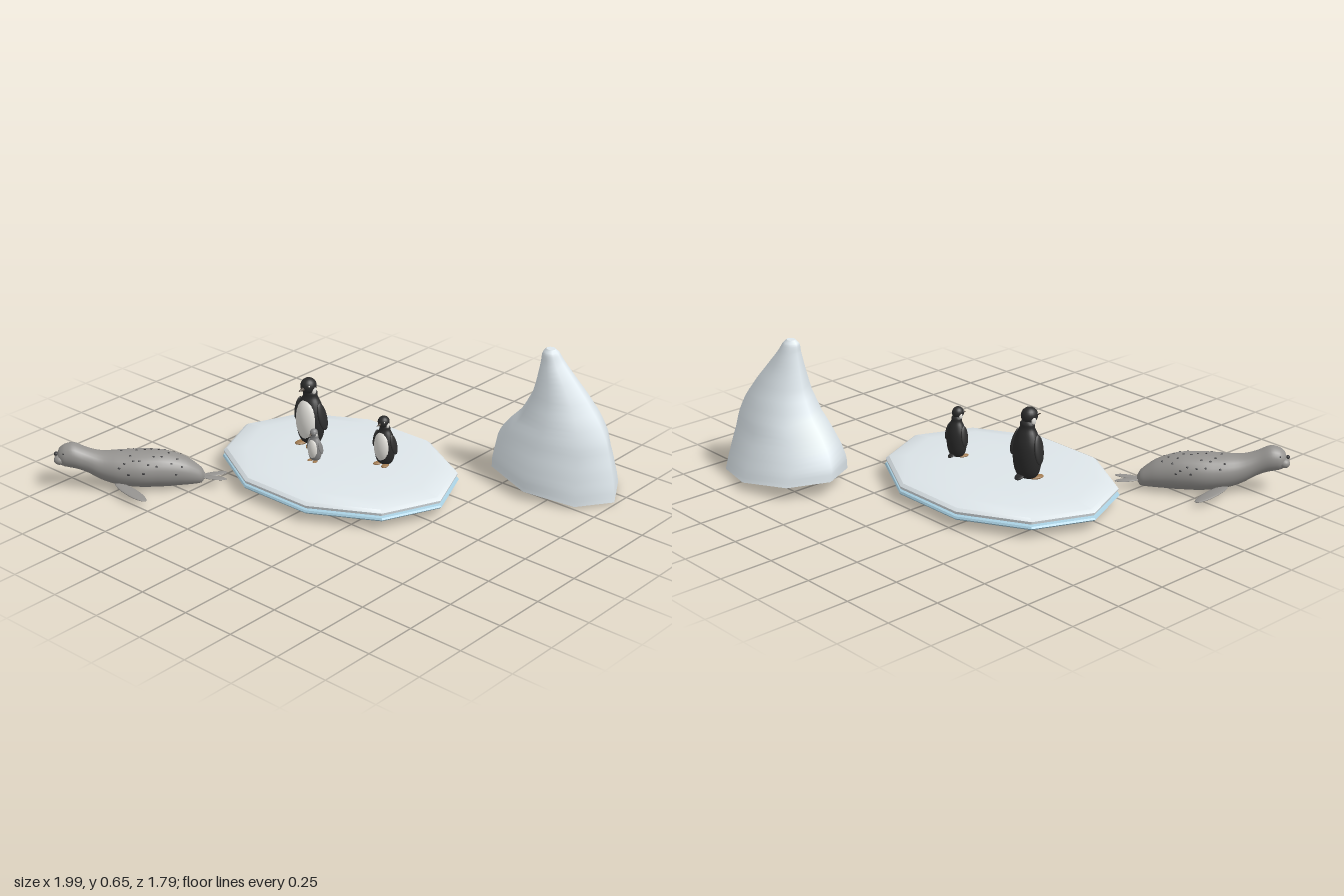
import * as THREE from 'three';
import { toCreasedNormals } from 'three/addons/utils/BufferGeometryUtils.js';

const mat = (color) => new THREE.MeshStandardMaterial({ color });
const M = {
  snow: mat(0xdde5e9), ice: mat(0xa9d0e2), berg: mat(0xdfe8ed),
  black: mat(0x2b2b2b), white: mat(0xe6e4de), down: mat(0x858585),
  tan: mat(0xa07a50), beak: mat(0x4a4036), seal: mat(0x94928f), dark: mat(0x3a3a3c),
};

function add(parent, name, geometry, material, pos = [0, 0, 0], rot = [0, 0, 0]) {
  const mesh = new THREE.Mesh(geometry, material);
  mesh.name = name;
  mesh.position.set(...pos);
  mesh.rotation.set(...rot);
  parent.add(mesh);
  return mesh;
}

const ellipsoid = (rx, ry, rz, n = 20) => new THREE.SphereGeometry(1, n, Math.ceil(n * 0.7)).scale(rx, ry, rz);

// Smooth skin over closed rings of points, with flat caps on both ends
function loft(rows) {
  const n = rows[0].length, pos = [], idx = [];
  rows.forEach((row) => row.forEach((p) => pos.push(p.x, p.y, p.z)));
  for (let i = 0; i < rows.length - 1; i++) {
    for (let j = 0; j < n; j++) {
      const a = i * n + j, b = i * n + (j + 1) % n;
      idx.push(a, a + n, b, b, a + n, b + n);
    }
  }
  [rows[0], rows[rows.length - 1]].forEach((row, end) => {
    const start = pos.length / 3, mid = new THREE.Vector3();
    row.forEach((p) => { pos.push(p.x, p.y, p.z); mid.addScaledVector(p, 1 / n); });
    pos.push(mid.x, mid.y, mid.z);
    for (let j = 0; j < n; j++) {
      const a = start + j, b = start + (j + 1) % n;
      idx.push(start + n, end ? b : a, end ? a : b);
    }
  });
  const g = new THREE.BufferGeometry();
  g.setAttribute('position', new THREE.Float32BufferAttribute(pos, 3));
  g.setIndex(idx);
  g.computeVertexNormals();
  return g;
}

// Two stacked ten-sided slabs
function iceFloe() {
  const g = new THREE.Group();
  g.name = 'iceFloe';
  const slab = (name, pts, material) => {
    const lathe = new THREE.LatheGeometry(pts.map((p) => new THREE.Vector2(...p)), 10, Math.PI / 2);
    add(g, name, toCreasedNormals(lathe.scale(0.595, 1, 0.45), 0.5), material);
  };
  slab('lowerIce', [[0, 0.002], [0.5, 0.005], [0.85, 0.02], [0.985, 0.042], [1, 0.05], [0.99, 0.058], [0.95, 0.064], [0, 0.064]], M.ice);
  slab('snowTop', [[0, 0.06], [0.95, 0.06], [0.985, 0.068], [0.99, 0.08], [0.96, 0.092], [0.8, 0.106], [0.5, 0.113], [0, 0.115]], M.snow);
  g.position.set(-0.095, 0, -0.06);
  return g;
}

// Leaning eight-sided peak; rings are [y, x, rx, z, rz, tilt]
function iceberg(parent) {
  const rings = [
    [0.04, 0.665, 0.325, -0.67, 0.24, 1], [0.12, 0.665, 0.32, -0.66, 0.217, 0.6],
    [0.22, 0.682, 0.282, -0.652, 0.182, 0.3], [0.32, 0.707, 0.222, -0.65, 0.15, 0.1],
    [0.42, 0.7, 0.16, -0.648, 0.112, 0], [0.52, 0.672, 0.102, -0.643, 0.075, 0],
    [0.6, 0.645, 0.055, -0.64, 0.048, 0], [0.637, 0.636, 0.04, -0.637, 0.036, 0],
    [0.655, 0.635, 0.022, -0.637, 0.02, 0]];
  const centre = new THREE.CatmullRomCurve3(rings.map((r) => new THREE.Vector3(r[1], r[0], r[3])));
  const size = new THREE.CatmullRomCurve3(rings.map((r) => new THREE.Vector3(r[2], r[5], r[4])));
  const rows = [];
  for (let i = 0; i <= 32; i++) {
    const c = centre.getPoint(i / 32), s = size.getPoint(i / 32);
    rows.push(Array.from({ length: 8 }, (_, j) => {
      const a = j * Math.PI / 4, dx = Math.cos(a) * s.x;
      return new THREE.Vector3(c.x + dx, c.y - 0.108 * s.y * dx, c.z + Math.sin(a) * s.z);
    }));
  }
  add(parent, 'iceberg', loft(rows), M.berg);
}

function penguin(name, x, z, scale, coat) {
  const g = new THREE.Group();
  g.name = name;
  const profile = [[0, 0.008], [0.042, 0.014], [0.063, 0.05], [0.071, 0.11], [0.067, 0.165], [0.052, 0.21], [0.037, 0.24], [0.033, 0.265], [0, 0.285]];
  const curve = new THREE.SplineCurve(profile.map((p) => new THREE.Vector2(...p)));
  const pts = curve.getPoints(28).map((p) => new THREE.Vector2(Math.max(p.x, 0), p.y));
  add(g, 'body', new THREE.LatheGeometry(pts, 24).scale(1, 1, 0.8), coat);
  add(g, 'belly', ellipsoid(0.06, 0.105, 0.043), M.white, [0, 0.125, 0.022]);
  add(g, 'head', ellipsoid(0.036, 0.038, 0.039), coat, [0, 0.293, 0.012]);
  add(g, 'beak', new THREE.ConeGeometry(0.011, 0.04, 10), M.beak, [0, 0.285, 0.062], [Math.PI / 2 + 0.1, 0, 0]);
  add(g, 'tail', ellipsoid(0.022, 0.007, 0.025, 12), coat, [0, 0.022, -0.046], [-0.4, 0, 0]);
  for (const s of [-1, 1]) {
    add(g, 'flipper', ellipsoid(0.01, 0.066, 0.027), coat, [s * 0.073, 0.155, 0], [0.1, 0, s * 0.22]);
    add(g, 'foot', ellipsoid(0.021, 0.009, 0.034, 14), M.tan, [s * 0.029, 0.008, 0.03], [0, s * 0.25, 0]);
    add(g, 'cheek', ellipsoid(0.008, 0.018, 0.013, 12), M.white, [s * 0.031, 0.276, 0.008]);
    add(g, 'eye', ellipsoid(0.004, 0.004, 0.004, 10), M.white, [s * 0.026, 0.302, 0.036]);
  }
  g.position.set(x, 0.112, z);
  g.scale.setScalar(scale);
  return g;
}

function seal() {
  const g = new THREE.Group();
  g.name = 'seal';
  // Rings from rump to face: [z, y, rx, ry]
  const rings = [
    [0, 0.05, 0.012, 0.012], [0.015, 0.053, 0.032, 0.036], [0.08, 0.075, 0.06, 0.064],
    [0.18, 0.09, 0.084, 0.083], [0.28, 0.093, 0.095, 0.085], [0.38, 0.097, 0.085, 0.079],
    [0.46, 0.11, 0.065, 0.066], [0.53, 0.14, 0.053, 0.057], [0.58, 0.16, 0.055, 0.059],
    [0.62, 0.161, 0.05, 0.052], [0.645, 0.157, 0.034, 0.037], [0.655, 0.154, 0.01, 0.012]];
  const centre = new THREE.CatmullRomCurve3(rings.map((r) => new THREE.Vector3(0, r[1], r[0])));
  const size = new THREE.CatmullRomCurve3(rings.map((r) => new THREE.Vector3(r[2], r[3], 0)));
  const skin = (t, a) => {
    const c = centre.getPoint(t), s = size.getPoint(t);
    return new THREE.Vector3(Math.cos(a) * s.x, c.y - Math.sin(a) * s.y, c.z);
  };
  const rows = [];
  for (let i = 0; i <= 44; i++) {
    rows.push(Array.from({ length: 24 }, (_, j) => skin(i / 44, j * Math.PI / 12)));
  }
  add(g, 'body', loft(rows), M.seal);

  // Face
  add(g, 'nose', ellipsoid(0.012, 0.009, 0.009, 12), M.dark, [0, 0.168, 0.66]);
  for (const s of [-1, 1]) {
    add(g, 'muzzle', ellipsoid(0.026, 0.022, 0.026), M.seal, [s * 0.02, 0.147, 0.643]);
    add(g, 'eye', ellipsoid(0.008, 0.008, 0.008, 12), M.dark, [s * 0.037, 0.182, 0.62]);
    // Flippers
    add(g, 'frontFlipper', ellipsoid(0.033, 0.008, 0.105), M.seal, [s * 0.125, 0.034, 0.325], [-0.12, -s * 0.83, 0]);
    add(g, 'hindFlipper', ellipsoid(0.02, 0.005, 0.062, 16), M.seal, [s * 0.019, 0.046, -0.04], [0, -s * 0.28, 0]);
  }

  // Spots scattered over the back and flanks
  let seed = 7;
  const rand = () => (seed = (seed * 16807) % 2147483647) / 2147483647;
  const spot = ellipsoid(0.006, 0.0045, 0.0015, 10);
  for (let i = 0; i < 36; i++) {
    const t = 0.2 + 0.26 * ((i + rand()) / 36), a = -Math.PI * (0.02 + 0.96 * ((i * 0.618 + rand() * 0.2) % 1));
    const p = skin(t, a);
    const m = add(g, 'spot', spot, M.dark, p.toArray());
    m.lookAt(p.x + Math.cos(a), p.y - Math.sin(a), p.z);
  }
  g.position.set(-0.495, 0, 0.4);
  g.rotation.y = -0.815;
  return g;
}

export function createModel() {
  const model = new THREE.Group();
  model.name = 'polarScene';
  model.add(
    iceFloe(),
    penguin('adultPenguin', -0.275, -0.066, 1, M.black),
    penguin('youngPenguin', 0.117, -0.127, 0.72, M.black),
    penguin('chick', -0.14, 0.054, 0.48, M.down),
    seal());
  iceberg(model);
  return model;
}
